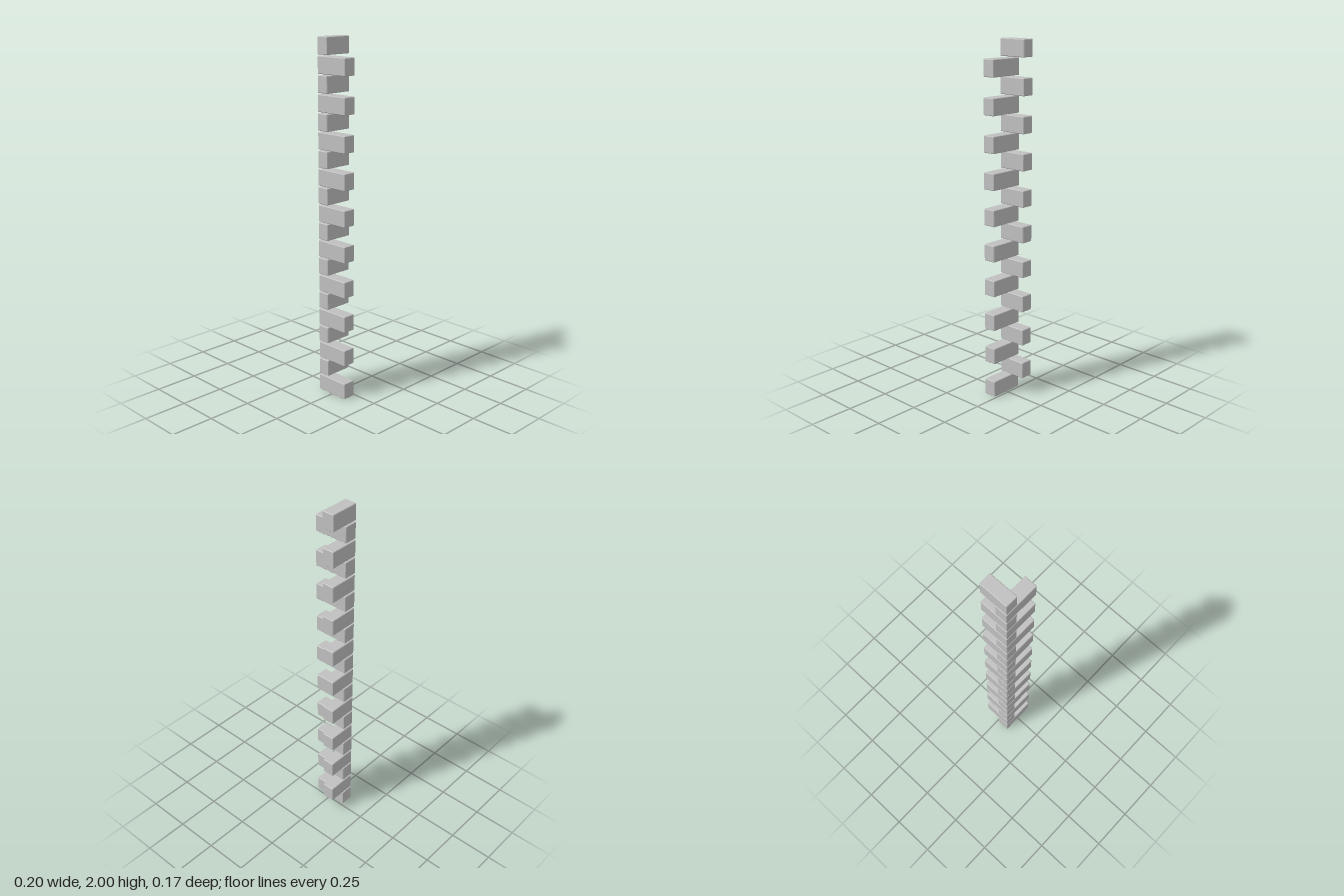
import * as THREE from 'three';
import { ConvexGeometry } from 'three/addons/geometries/ConvexGeometry.js';

const COUNT = 20;
const HEIGHT = 0.093;
const PITCH = (2 - HEIGHT) / (COUNT - 1);
const BEVEL = 0.003;

// Box with every edge and corner chamfered
function chamferedBlock(w, h, d) {
  const half = [w / 2, h / 2, d / 2];
  const points = [];
  for (const sx of [-1, 1]) for (const sy of [-1, 1]) for (const sz of [-1, 1]) {
    for (let axis = 0; axis < 3; axis++) {
      const [x, y, z] = half.map((v, i) => (i === axis ? v : v - BEVEL));
      points.push(new THREE.Vector3(sx * x, sy * y, sz * z));
    }
  }
  return new ConvexGeometry(points);
}

export function createModel() {
  const group = new THREE.Group();
  group.name = 'cornerStones';
  const stone = new THREE.MeshStandardMaterial({ color: 0xc0c0c0 });
  stone.name = 'grey stone';

  // Stones share the front right corner and alternate between the two walls
  const front = chamferedBlock(0.202, HEIGHT, 0.074);
  const side = chamferedBlock(0.071, HEIGHT, 0.168);
  for (let i = 0; i < COUNT; i++) {
    const isFront = i % 2 === 0;
    const block = new THREE.Mesh(isFront ? front : side, stone);
    block.name = isFront ? 'frontStone' : 'sideStone';
    block.position.set(isFront ? 0 : -0.0655, HEIGHT / 2 + i * PITCH, isFront ? 0.047 : 0);
    group.add(block);
  }
  return group;
}
